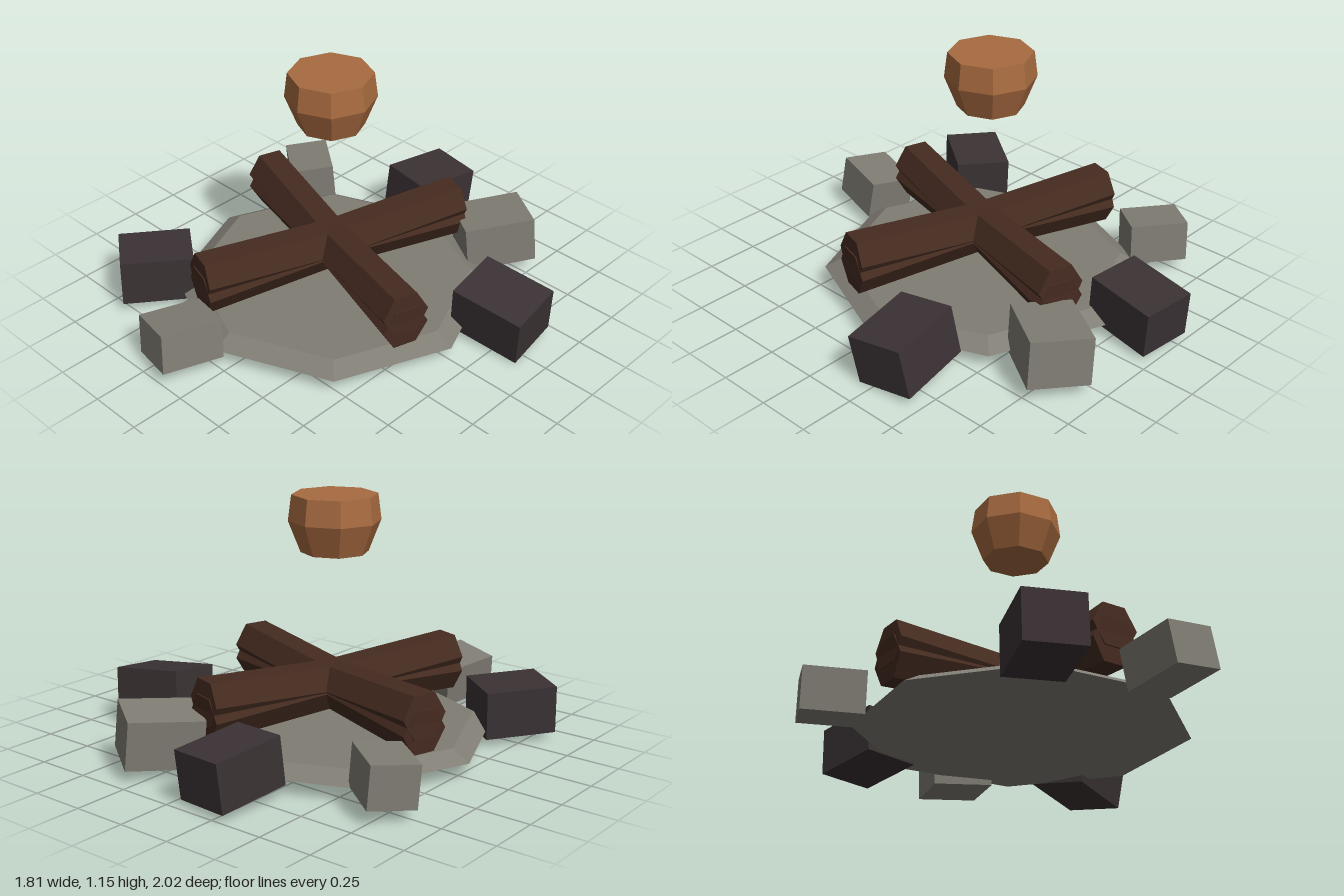
import * as THREE from 'three';

const mat = (name, color) => {
  const m = new THREE.MeshStandardMaterial({ color, flatShading: true });
  m.name = name;
  return m;
};

export function createModel() {
  const stone = mat('pale stone', 0x807d74);
  const darkStone = mat('dark stone', 0x3b3234);
  const wood = mat('dark wood', 0x452b20);
  const clay = mat('clay', 0xa86b40);

  const model = new THREE.Group();
  model.name = 'campfire';
  const add = (name, geometry, material, x, y, z) => {
    const mesh = new THREE.Mesh(geometry, material);
    mesh.name = name;
    mesh.position.set(x, y, z);
    model.add(mesh);
    return mesh;
  };
  const cx = -0.07; // centre of the hearth

  // Eight-sided hearth slab with sloping rim
  add('hearthSlab', new THREE.CylinderGeometry(0.65, 0.735, 0.05, 8), stone, cx, 0.085, 0);

  // Four six-sided logs through the centre, each tipped up at one end
  const logGeometry = new THREE.CylinderGeometry(0.11, 0.11, 1.335, 6).rotateZ(Math.PI / 2);
  for (let i = 0; i < 4; i++) {
    const log = add('log' + (i + 1), logGeometry, wood, cx, 0.27, 0);
    log.rotation.set(0, -0.3 + i * Math.PI / 2, 0.052, 'YXZ');
  }

  // Ring of tilted blocks: x, y, z, width, height, depth, tilt x, yaw, tilt z
  const rocks = [
    [darkStone, -0.19, 0.145, -0.82, 0.26, 0.22, 0.34, -0.09, -0.12, -0.05],
    [stone, 0.30, 0.15, -0.73, 0.275, 0.22, 0.335, 0.03, -0.6, 0.1],
    [darkStone, 0.71, 0.145, -0.285, 0.35, 0.235, 0.275, 0.12, 0.1, -0.12],
    [stone, -0.725, 0.145, -0.50, 0.27, 0.19, 0.21, 0.06, -0.65, 0.05],
    [darkStone, -0.655, 0.14, 0.58, 0.26, 0.22, 0.335, -0.03, -0.63, 0.01],
    [stone, -0.18, 0.135, 0.83, 0.23, 0.185, 0.29, -0.12, -0.25, 0.11],
  ];
  rocks.forEach(([material, x, y, z, w, h, d, rx, ry, rz], i) => {
    const rock = add('rock' + (i + 1), new THREE.BoxGeometry(w, h, d), material, x, y, z);
    rock.rotation.set(rx, ry, rz, 'XZY');
  });

  // Closed eight-sided pot hanging over the fire
  const profile = [[0, 0.885], [0.15, 0.885], [0.205, 1.025], [0.19, 1.14], [0, 1.14]];
  add('pot', new THREE.LatheGeometry(profile.map(([r, y]) => new THREE.Vector2(r, y)), 8),
    clay, -0.097, 0, -0.023);

  return model;
}
